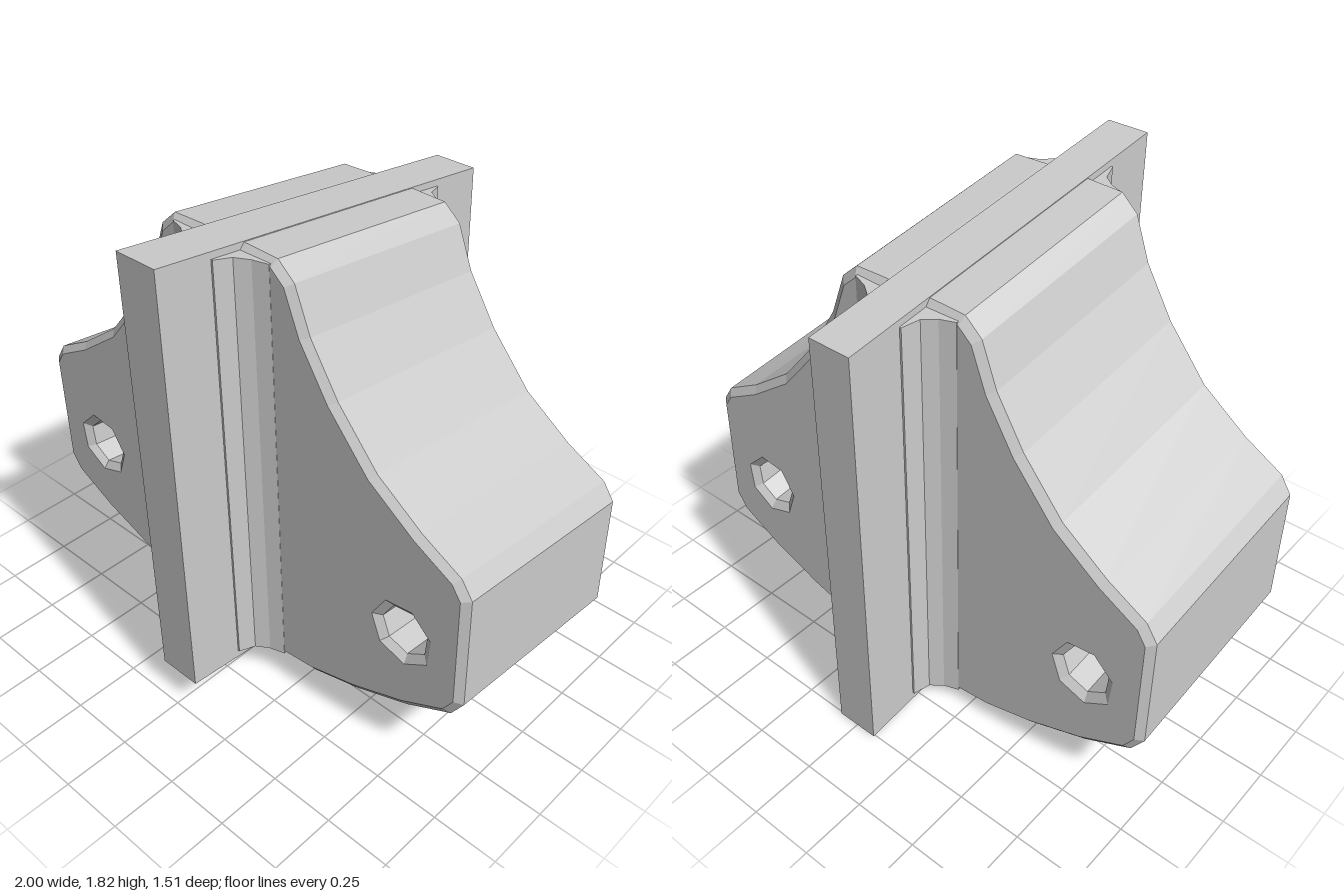
import * as THREE from 'three';

const material = new THREE.MeshStandardMaterial({ color: 0xcccccc, flatShading: true });

// Lean the block: surfaces rise towards the front, ends tip slightly forward
function lean(geometry) {
  const p = geometry.attributes.position;
  for (let i = 0; i < p.count; i++) {
    const y = p.getY(i), z = p.getZ(i);
    p.setY(i, y + z * (0.095 + 0.014 * y));
    p.setZ(i, z + 0.018 * (y - 0.9));
  }
  geometry.computeVertexNormals();
  return geometry;
}

function addPart(group, name, geometry) {
  const mesh = new THREE.Mesh(lean(geometry), material);
  mesh.name = name;
  group.add(mesh);
}

const toPoints = (list) => list.map(([x, y]) => new THREE.Vector2(x, y));
const mirrorX = (list) => list.concat([...list].reverse().map(([x, y]) => [-x, y]));

export function createModel() {
  const group = new THREE.Group();
  group.name = 'flaredBlock';

  // Bell-shaped body: curved underside, upright flanks, concave shoulders
  const half = [
    [0.1, 0.073], [0.35, 0.1], [0.55, 0.155], [0.77, 0.24], [0.95, 0.335], [0.998, 0.41],
    [0.998, 0.86], [0.955, 0.925], [0.8, 1.01], [0.62, 1.14], [0.46, 1.33],
    [0.35, 1.51], [0.29, 1.67], [0.225, 1.728], [0.1, 1.732],
  ];
  const outline = new THREE.Shape(toPoints(mirrorX(half)));

  // Seven-sided through holes
  for (const side of [-1, 1]) {
    const ring = [];
    for (let i = 0; i < 7; i++) {
      const a = (i / 7) * Math.PI * 2 + 0.35;
      ring.push([side * (0.75 + 0.095 * Math.cos(a)), 0.57 + 0.095 * Math.sin(a)]);
    }
    outline.holes.push(new THREE.Path(toPoints(ring)));
  }
  const depth = 0.79, bevel = 0.022;
  const body = new THREE.ExtrudeGeometry(outline, {
    depth, bevelEnabled: true, bevelSegments: 1,
    bevelThickness: bevel, bevelSize: 0.028, bevelOffset: 0,
  });
  body.translate(0, 0, -depth / 2);
  // Keep the chamfered outline within its full width
  body.computeBoundingBox();
  const grow = body.boundingBox.max.x - 1;
  if (grow > 0) {
    body.dispose();
    const trimmed = new THREE.ExtrudeGeometry(outline, {
      depth, bevelEnabled: true, bevelSegments: 1,
      bevelThickness: bevel, bevelSize: 0.028, bevelOffset: -0.028,
    });
    trimmed.translate(0, 0, -depth / 2);
    addPart(group, 'body', trimmed);
  } else {
    addPart(group, 'body', body);
  }

  // Upright prism from a plan drawn in x and z
  const prism = (plan, bottom, top) => {
    const g = new THREE.ExtrudeGeometry(new THREE.Shape(toPoints(plan)), {
      depth: top - bottom, bevelEnabled: false,
    });
    return g.rotateX(-Math.PI / 2).translate(0, bottom, 0);
  };

  // Central rib running through the body and standing proud at both ends
  addPart(group, 'rib', prism(mirrorX([[0.083, -0.742], [0.083, 0.742]]), 0.07, 1.735));

  // Fillets blending the rib into the body faces
  for (const end of [-1, 1]) {
    const plan = mirrorX([
      [0.21, 0.38], [0.21, 0.418], [0.155, 0.436], [0.11, 0.468], [0.09, 0.53],
    ]).map(([x, z]) => [x, z * end]);
    addPart(group, end < 0 ? 'frontFillet' : 'backFillet', prism(plan, 0.1, 1.71));
  }
  return group;
}
